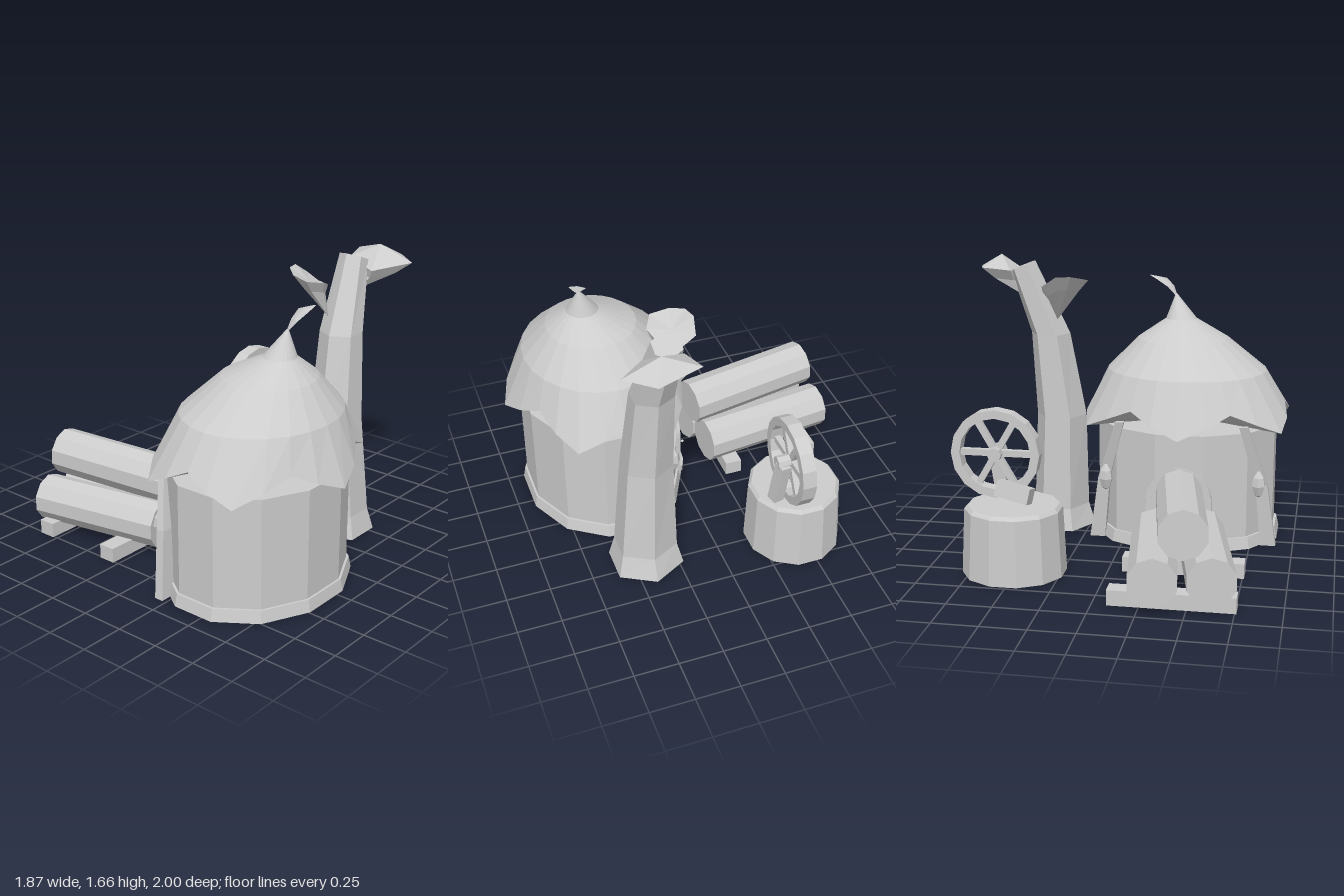
import * as THREE from 'three';

const V = (x, y, z) => new THREE.Vector3(x, y, z);

export function createModel() {
  const grey = new THREE.MeshStandardMaterial({ color: 0xcccccc, flatShading: true, side: THREE.DoubleSide });
  grey.name = 'plain grey';
  const root = new THREE.Group();
  root.name = 'hutYard';

  const add = (name, geo, x = 0, y = 0, z = 0, parent = root) => {
    const m = new THREE.Mesh(geo, grey);
    m.name = name;
    m.position.set(x, y, z);
    parent.add(m);
    return m;
  };
  const group = (name, x, y, z) => {
    const g = new THREE.Group();
    g.name = name;
    g.position.set(x, y, z);
    root.add(g);
    return g;
  };

  // Skin a list of equal-length rings; optional caps at both ends
  const loft = (rings, { closed = true, caps = false } = {}) => {
    const n = rings[0].length, pos = rings.flat().flatMap(p => [p.x, p.y, p.z]), idx = [];
    for (let i = 0; i < rings.length - 1; i++)
      for (let j = 0; j < (closed ? n : n - 1); j++) {
        const a = i * n + j, b = i * n + (j + 1) % n, c = a + n, d = b + n;
        idx.push(a, c, b, b, c, d);
      }
    if (caps)
      for (let j = 1; j < n - 1; j++) {
        const t = (rings.length - 1) * n;
        idx.push(0, j, j + 1, t, t + j + 1, t + j);
      }
    const g = new THREE.BufferGeometry();
    g.setAttribute('position', new THREE.Float32BufferAttribute(pos, 3));
    g.setIndex(idx);
    const flat = g.toNonIndexed();
    flat.computeVertexNormals();
    return flat;
  };
  const ring = (n, x, y, z, rx, rz, start = 0) => Array.from({ length: n }, (_, i) => {
    const a = start + i / n * Math.PI * 2;
    return V(x + rx * Math.cos(a), y, z + rz * Math.sin(a));
  });

  // Oval hut: twelve-sided wall, with its floor raised inside a flared foot
  const HX = -0.345, HZ = 0.44;
  const hut = group('hut', HX, 0, HZ);
  const wall = add('wall', new THREE.CylinderGeometry(0.543, 0.543, 0.63, 12), 0, 0.38, 0, hut);
  const foot = add('foot', new THREE.CylinderGeometry(0.558, 0.573, 0.07, 12, 1, true), 0, 0.035, 0, hut);
  const floor = add('floor', new THREE.CylinderGeometry(0.558, 0.558, 0.012, 12), 0, 0.064, 0, hut);
  for (const m of [wall, foot, floor]) {
    m.geometry.rotateY(Math.PI / 12);
    m.scale.z = 0.84;
  }

  // Scalloped thatch roof: six drooping points, leaning tip, underside running to the middle
  const rim = Array.from({ length: 24 }, (_, i) => {
    const droop = 1 - Math.abs((i % 4) - 2) / 2;
    const a = i / 24 * Math.PI * 2, r = 0.87 + 0.13 * droop;
    return V(0.66 * r * Math.cos(a), 0.82 - 0.13 * droop, 0.56 * r * Math.sin(a));
  });
  add('roof', loft([
    ring(24, 0, 0.7, 0, 0.004, 0.004),
    rim,
    ring(24, 0.012, 1.0, 0.01, 0.475, 0.42),
    ring(24, 0.04, 1.18, 0.035, 0.27, 0.258),
    ring(24, 0.06, 1.285, 0.085, 0.092, 0.092),
    ring(24, 0.095, 1.43, 0.107, 0.004, 0.004),
  ]), 0, 0, 0, hut);

  // Curled leaf on the roof tip
  const leafRow = (x, y, z, w) => [V(x - w * 0.5, y - w * 0.2, z + w), V(x, y, z), V(x + w * 0.5, y - w * 0.2, z - w)];
  add('roofLeaf', loft([
    leafRow(-0.25, 1.42, 0.545, 0.008), leafRow(-0.215, 1.475, 0.56, 0.03),
    leafRow(-0.16, 1.52, 0.575, 0.045), leafRow(-0.085, 1.53, 0.6, 0.006),
  ], { closed: false }));

  // Arched door on the back wall, with frame, knob and rounded step
  const arch = (w, h) => {
    const s = new THREE.Shape();
    s.moveTo(-w, 0);
    s.lineTo(w, 0);
    s.lineTo(w, h);
    s.absarc(0, h, w, 0, Math.PI);
    return s;
  };
  const frame = arch(0.19, 0.3);
  frame.holes.push(arch(0.16, 0.3));
  const extrude = (s, depth) => new THREE.ExtrudeGeometry(s, { depth, bevelEnabled: false, curveSegments: 8 });
  add('doorFrame', extrude(frame, 0.1), HX, 0.01, -0.008);
  add('door', extrude(arch(0.165, 0.3), 0.05), HX, 0.01, -0.003);
  add('doorKnob', new THREE.OctahedronGeometry(0.012), HX + 0.1, 0.205, -0.05);
  add('doorStep', new THREE.CylinderGeometry(0.16, 0.16, 0.04, 12), HX, 0.025, 0).scale.z = 0.45;

  // Bent posts and hanging lanterns either side of the door
  for (const s of [-1, 1]) {
    const name = s < 0 ? 'right' : 'left';
    const section = (x, y, z, hx, hz) => ring(4, HX + s * x, y, z, hx * Math.SQRT2, hz * Math.SQRT2, Math.PI / 4);
    add(name + 'Post', loft([
      section(0.51, 0, 0.2, 0.045, 0.026), section(0.465, 0.38, 0.17, 0.035, 0.024),
      section(0.36, 0.74, 0.085, 0.025, 0.018),
    ], { caps: true }));
    add(name + 'Lantern', new THREE.LatheGeometry(
      [[0, -0.08], [0.024, -0.065], [0.042, -0.01], [0.034, 0.04], [0.01, 0.075], [0, 0.08]]
        .map(p => new THREE.Vector2(...p)), 6), HX + s * 0.45, 0.39, 0.13);
    add(name + 'LanternCord', new THREE.CylinderGeometry(0.004, 0.004, 0.12, 4), HX + s * 0.435, 0.52, 0.135);
  }

  // Curving six-sided trunk with a slanted top
  const trunkTop = ring(6, 0.64, 1.605, 0.34, 0.075, 0.085);
  trunkTop.forEach(p => { p.y -= (p.x - 0.64) * 0.4; });
  add('treeTrunk', loft([
    ring(6, 0.438, 0, 0.415, 0.213, 0.22), ring(6, 0.435, 0.13, 0.415, 0.17, 0.185),
    ring(6, 0.425, 0.7, 0.395, 0.152, 0.15), ring(6, 0.483, 1.2, 0.375, 0.118, 0.125), trunkTop,
  ], { caps: true }));

  // Faceted leaf clumps: pointed stem, bulging underside, ridge point above
  const clump = (name, bottom, belly, edge, top) => {
    const e = edge.map(p => V(...p));
    add(name, loft([
      e.map(() => V(...bottom)),
      e.map(p => p.clone().lerp(V(...belly), 0.35)),
      e,
      e.map(() => V(...top)),
    ]));
  };
  clump('leftLeafClump', [0.62, 1.41, 0.36], [0.68, 1.4, 0.4],
    [[0.93, 1.58, 0.48], [0.8, 1.58, 0.63], [0.63, 1.54, 0.47], [0.7, 1.58, 0.27], [0.86, 1.6, 0.23]],
    [0.79, 1.66, 0.42]);
  clump('rightLeafClump', [0.43, 1.29, 0.32], [0.41, 1.33, 0.28],
    [[0.49, 1.47, 0.2], [0.42, 1.48, 0.32], [0.34, 1.51, 0.35], [0.24, 1.53, 0.3], [0.25, 1.55, 0.2],
      [0.31, 1.57, 0.13], [0.39, 1.57, 0.11], [0.48, 1.51, 0.13]],
    [0.37, 1.5, 0.22]);

  // Hollow stump table
  const stump = group('stump', 0.515, 0, -0.458);
  stump.scale.x = 1.045;
  const drum = (top, bottom, h, open) => new THREE.CylinderGeometry(top, bottom, h, 12, 1, open).rotateY(Math.PI / 12);
  add('stumpSide', drum(0.262, 0.28, 0.37, true), 0, 0.185, 0, stump);
  add('stumpTop', drum(0.245, 0.262, 0.02, false), 0, 0.38, 0, stump);

  // Spoked wheel on a stand
  const wheel = group('wheel', 0.628, 0.655, -0.38);
  const tyre = new THREE.Shape().absarc(0, 0, 0.252, 0, Math.PI * 2);
  tyre.holes.push(new THREE.Path().absarc(0, 0, 0.203, 0, Math.PI * 2));
  add('wheelRim', new THREE.ExtrudeGeometry(tyre, { depth: 0.08, bevelEnabled: false, curveSegments: 8 }), 0, 0, -0.04, wheel);
  for (let i = 0; i < 6; i++) {
    const a = i * Math.PI / 3;
    add('spoke', new THREE.BoxGeometry(0.2, 0.036, 0.034), 0.11 * Math.cos(a), 0.11 * Math.sin(a), 0, wheel).rotation.z = a;
  }
  add('hub', new THREE.CylinderGeometry(0.04, 0.04, 0.15, 8).rotateX(Math.PI / 2), 0, 0, 0.015, wheel);
  add('stand', new THREE.BoxGeometry(0.07, 0.28, 0.06), 0.635, 0.515, -0.31).rotation.set(-0.06, 0.2, -0.13);
  add('sideBlock', new THREE.BoxGeometry(0.2, 0.09, 0.08), 0.51, 0.455, -0.455).rotation.set(0.2, -0.15, 0.2);

  // Log stack on two beams, each beam open underneath
  const beamEnd = (x, z) => [V(x, 0, z - 0.05), V(x, 0.085, z - 0.05), V(x, 0.085, z + 0.05), V(x, 0, z + 0.05)];
  for (const z of [-0.33, -0.825])
    add('logBeam', loft([beamEnd(-0.76, z), beamEnd(-0.08, z)], { closed: false, caps: true }));
  const stack = group('logStack', -0.43, 0, -0.56);
  stack.rotation.y = 0.185;
  const log = (x, y, z, tilt, turn) => {
    const m = add('log', new THREE.CylinderGeometry(0.135, 0.135, 0.8, 10).rotateX(Math.PI / 2), x, y, z, stack);
    m.rotation.set(tilt, turn, 0);
  };
  log(-0.135, 0.182, 0, 0, 0);
  log(0.145, 0.182, -0.005, 0, -0.06);
  log(0.0, 0.415, 0.025, 0.035, -0.03);

  return root;
}
